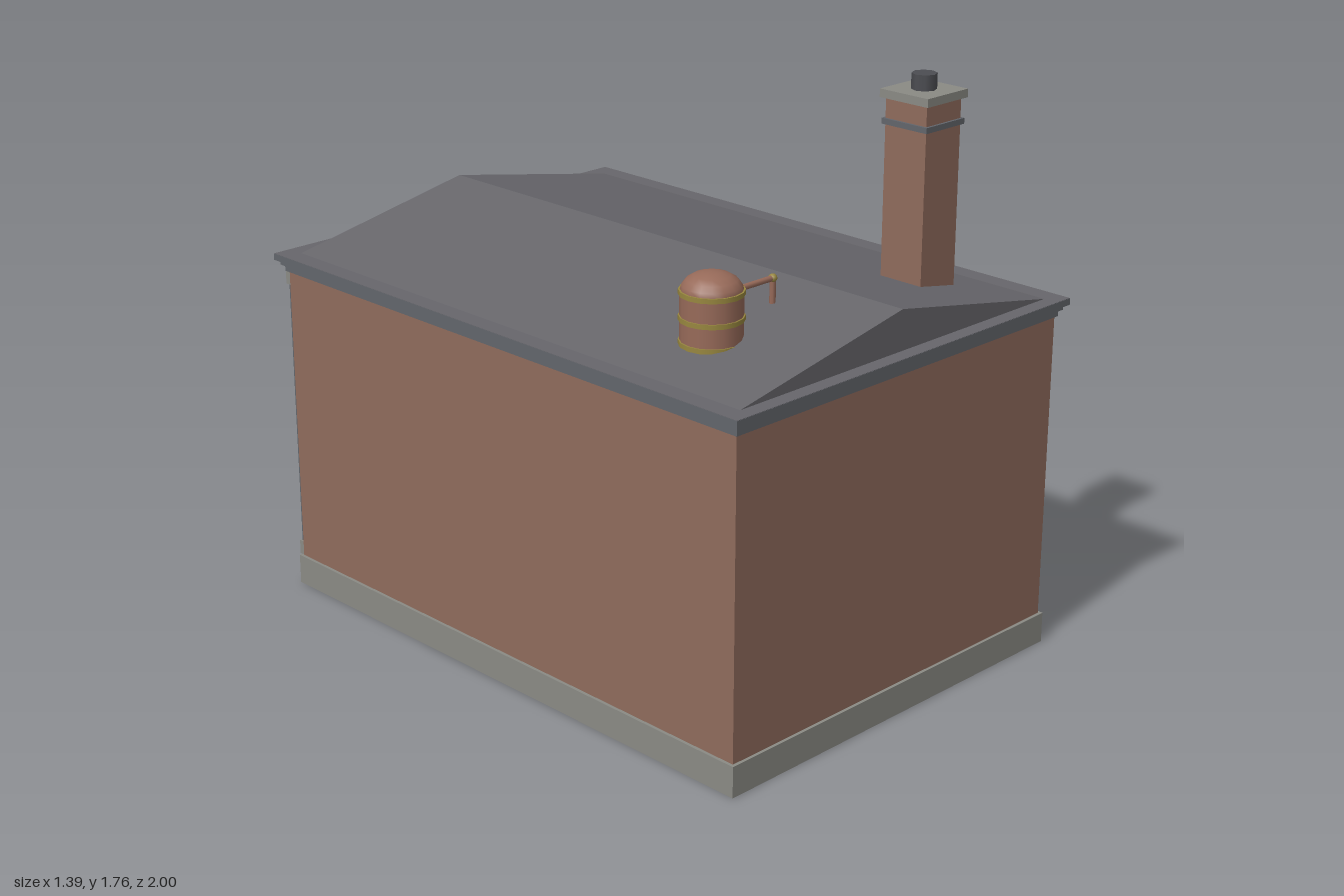
import * as THREE from 'three';

const mat = (name, color) => Object.assign(new THREE.MeshStandardMaterial({ color }), { name });
const brick = mat('brick', 0x8f6b5c);
const stone = mat('stone', 0x8a8a84);
const slate = mat('roof slate', 0x67666b);
const trim = mat('slate trim', 0x62656b);
const iron = mat('dark iron', 0x4c4d52);
const gold = mat('brass', 0x98873f);
const glass = mat('lit glass', 0xb3a676);
const copper = mat('copper', 0x976a59);
const wood = mat('door wood', 0x80594a);

const WALL = -0.925; // plane of the decorated facade

export function createModel() {
  const model = new THREE.Group();
  model.name = 'forgeHouse';

  const add = (name, geo, m, x = 0, y = 0, z = 0, parent = model) => {
    const mesh = new THREE.Mesh(geo, m);
    mesh.name = name;
    mesh.position.set(x, y, z);
    parent.add(mesh);
    return mesh;
  };
  // box from its limits
  const box = (name, m, x0, x1, y0, y1, z0, z1, parent) =>
    add(name, new THREE.BoxGeometry(x1 - x0, y1 - y0, z1 - z0), m,
      (x0 + x1) / 2, (y0 + y1) / 2, (z0 + z1) / 2, parent);
  // plate standing out from the facade by d
  const plate = (name, m, x0, x1, y0, y1, d, parent) => box(name, m, x0, x1, y0, y1, WALL - d, WALL, parent);
  const relief = (name, m, shape, x, y, d, parent) =>
    add(name, new THREE.ExtrudeGeometry(shape, { depth: d, bevelEnabled: false, curveSegments: 10 }),
      m, x, y, WALL - d, parent);
  const group = (name) => {
    const g = new THREE.Group();
    g.name = name;
    model.add(g);
    return g;
  };

  // Body, plinth and stepped cornice
  box('plinth', stone, -0.675, 0.675, 0, 0.095, -0.935, 0.98);
  box('walls', brick, -0.665, 0.665, 0.095, 1.05, WALL, 0.97);
  [[0.672, 1.045, 1.065], [0.682, 1.065, 1.08], [0.695, 1.08, 1.1]].forEach(([w, y0, y1]) =>
    box('cornice', trim, -w, w, y0, y1, -0.265 - w, 0.305 + w));
  box('roofDeck', slate, -0.694, 0.694, 1.095, 1.101, -0.959, 0.999);

  // Low gabled roof
  const gable = new THREE.Shape([[-0.64, 1.1], [0.64, 1.1], [0, 1.222]].map(([x, y]) => new THREE.Vector2(x, y)));
  add('roof', new THREE.ExtrudeGeometry(gable, { depth: 1.855, bevelEnabled: false }), slate, 0, 0, -0.902);

  // Chimney
  const chimney = (name, m, r, y0, y1) => box(name, m, 0.4 - r, 0.4 + r, y0, y1, 0.67 - r, 0.67 + r);
  chimney('chimneyStack', brick, 0.075, 1.12, 1.69);
  chimney('chimneyBand', trim, 0.083, 1.613, 1.63);
  chimney('chimneyCap', stone, 0.088, 1.69, 1.715);
  add('chimneyPot', new THREE.CylinderGeometry(0.037, 0.037, 0.048, 8), iron, 0.4, 1.737, 0.67);

  // Copper boiler with brass hoops and outlet pipe
  const boiler = group('boiler');
  boiler.position.set(-0.39, 0, 0.61);
  add('boilerTank', new THREE.CylinderGeometry(0.088, 0.088, 0.18, 16), copper, 0, 1.195, 0, boiler);
  const dome = add('boilerDome', new THREE.SphereGeometry(0.088, 16, 5, 0, Math.PI * 2, 0, Math.PI / 2), copper, 0, 1.285, 0, boiler);
  dome.scale.y = 0.63;
  [1.14, 1.21, 1.283].forEach((y) =>
    add('boilerHoop', new THREE.CylinderGeometry(0.092, 0.092, 0.014, 16), gold, 0, y, 0, boiler));
  add('pipeAcross', new THREE.CylinderGeometry(0.009, 0.009, 0.16, 8), copper, 0.16, 1.265, 0, boiler).rotation.z = Math.PI / 2;
  add('pipeDown', new THREE.CylinderGeometry(0.009, 0.009, 0.08, 8), copper, 0.24, 1.227, 0, boiler);
  add('pipeElbow', new THREE.SphereGeometry(0.013, 8, 6), gold, 0.24, 1.265, 0, boiler);
  add('pipeCollar', new THREE.CylinderGeometry(0.013, 0.013, 0.014, 8), gold, 0.098, 1.265, 0, boiler).rotation.z = Math.PI / 2;

  // Arched outline standing on y = 0
  const arch = (r, h) => {
    const s = new THREE.Shape();
    s.moveTo(-r, 0);
    s.lineTo(r, 0);
    s.lineTo(r, h);
    s.absarc(0, h, r, 0, Math.PI, false);
    s.lineTo(-r, 0);
    return s;
  };

  for (const s of [-1, 1]) {
    // Corner pilasters
    const px = s * 0.627;
    plate('pilaster', trim, px - 0.031, px + 0.031, 0.095, 1.045, 0.014);
    plate('pilasterBase', stone, px - 0.037, px + 0.037, 0.095, 0.14, 0.02);
    plate('pilasterCapital', stone, px - 0.037, px + 0.037, 1.0, 1.045, 0.021);

    // Upper window with sill, lintel and small crown
    const up = group('upperWindow');
    const ux = s * 0.41;
    plate('frame', trim, ux - 0.108, ux + 0.108, 0.66, 0.885, 0.008, up);
    plate('glass', glass, ux - 0.09, ux + 0.09, 0.677, 0.868, 0.011, up);
    for (const dx of [-0.03, 0.03])
      plate('mullion', trim, ux + dx - 0.004, ux + dx + 0.004, 0.677, 0.868, 0.014, up);
    plate('sill', stone, ux - 0.122, ux + 0.122, 0.652, 0.669, 0.02, up);
    plate('lintel', trim, ux - 0.122, ux + 0.122, 0.88, 0.918, 0.018, up);
    const crown = new THREE.Shape();
    crown.absellipse(0, 0, 0.075, 0.045, 0, Math.PI, false);
    relief('crown', trim, crown, ux, 0.918, 0.014, up);

    // Lower arched window
    const low = group('archedWindow');
    const lx = s * 0.43;
    const ring = arch(0.122, 0.152);
    ring.holes.push(new THREE.Path(arch(0.098, 0.137).getPoints(10).map((p) => p.add(new THREE.Vector2(0, 0.015)))));
    relief('archFrame', trim, ring, lx, 0.11, 0.018, low);
    relief('archGlass', glass, arch(0.1, 0.137), lx, 0.125, 0.008, low);
    plate('archMullion', trim, lx - 0.005, lx + 0.005, 0.125, 0.36, 0.013, low);
    plate('archTransom', trim, lx - 0.098, lx + 0.098, 0.255, 0.267, 0.013, low);
    plate('archSill', stone, lx - 0.13, lx + 0.13, 0.1, 0.118, 0.02, low);
    plate('keystone', gold, lx - 0.017, lx + 0.017, 0.362, 0.402, 0.024, low);

    // Door columns and leaves
    const cx = s * 0.2;
    plate('doorColumn', gold, cx - 0.018, cx + 0.018, 0.012, 0.345, 0.032);
    const dx = s * 0.091;
    plate('doorLeaf', wood, dx - 0.088, dx + 0.088, 0.012, 0.3, 0.016);
    for (const [y0, y1] of [[0.035, 0.135], [0.165, 0.28]])
      plate('doorPanel', brick, dx - 0.066, dx + 0.066, y0, y1, 0.019);
    plate('doorStrap', iron, dx - 0.088, dx + 0.088, 0.145, 0.155, 0.021);
    add('doorKnob', new THREE.SphereGeometry(0.009, 8, 6), gold, s * 0.02, 0.17, WALL - 0.024);

    // Lantern on a bracket
    const lamp = group('lantern');
    lamp.position.set(s * 0.27, 0, 0);
    box('bracket', iron, -0.006, 0.006, 0.398, 0.41, -0.985, WALL, lamp);
    box('bracketPlate', iron, -0.015, 0.015, 0.375, 0.42, WALL - 0.006, WALL, lamp);
    add('lanternCap', new THREE.CylinderGeometry(0.007, 0.017, 0.016, 6), iron, 0, 0.393, -0.982, lamp);
    add('lanternGlass', new THREE.CylinderGeometry(0.013, 0.01, 0.034, 6), glass, 0, 0.369, -0.982, lamp);
    add('lanternBase', new THREE.CylinderGeometry(0.014, 0.014, 0.008, 6), iron, 0, 0.349, -0.982, lamp);

    plate('wallStud', gold, s * 0.19 - 0.018, s * 0.19 + 0.018, 0.682, 0.698, 0.015);
  }

  // Doorway surround
  plate('doorSeam', iron, -0.004, 0.004, 0.012, 0.3, 0.02);
  plate('transomFrame', gold, -0.185, 0.185, 0.297, 0.36, 0.018);
  for (let i = 0; i < 5; i++) {
    const x = (i - 2) * 0.072;
    plate('transomPane', glass, x - 0.032, x + 0.032, 0.306, 0.35, 0.022);
  }
  plate('doorLintel', gold, -0.222, 0.222, 0.345, 0.365, 0.036);
  plate('doorCornice', gold, -0.212, 0.212, 0.365, 0.382, 0.03);
  plate('doorStep', stone, -0.222, 0.222, 0, 0.012, 0.058);

  // Anvil emblem on a brass shelf
  plate('shelf', gold, -0.16, 0.16, 0.733, 0.756, 0.048);
  plate('anvilFoot', iron, -0.09, 0.09, 0.756, 0.785, 0.03);
  plate('anvilWaist', trim, -0.07, 0.07, 0.785, 0.855, 0.024);
  plate('anvilTop', stone, -0.11, 0.19, 0.85, 0.905, 0.036);
  const horn = add('anvilHorn', new THREE.ConeGeometry(0.027, 0.14, 10), stone, -0.18, 0.878, WALL - 0.018);
  horn.rotation.z = Math.PI / 2;
  horn.scale.z = 0.65;

  // Hammer emblem beside it
  const hammer = group('hammer');
  hammer.position.set(-0.4, 0.878, WALL - 0.03);
  add('hammerHandle', new THREE.CylinderGeometry(0.007, 0.007, 0.13, 8), wood, 0.06, 0, 0, hammer).rotation.z = Math.PI / 2;
  add('hammerHead', new THREE.CylinderGeometry(0.024, 0.024, 0.075, 10), stone, 0, 0, 0, hammer).scale.z = 0.6;
  hammer.rotation.z = 0.3;

  return model;
}
